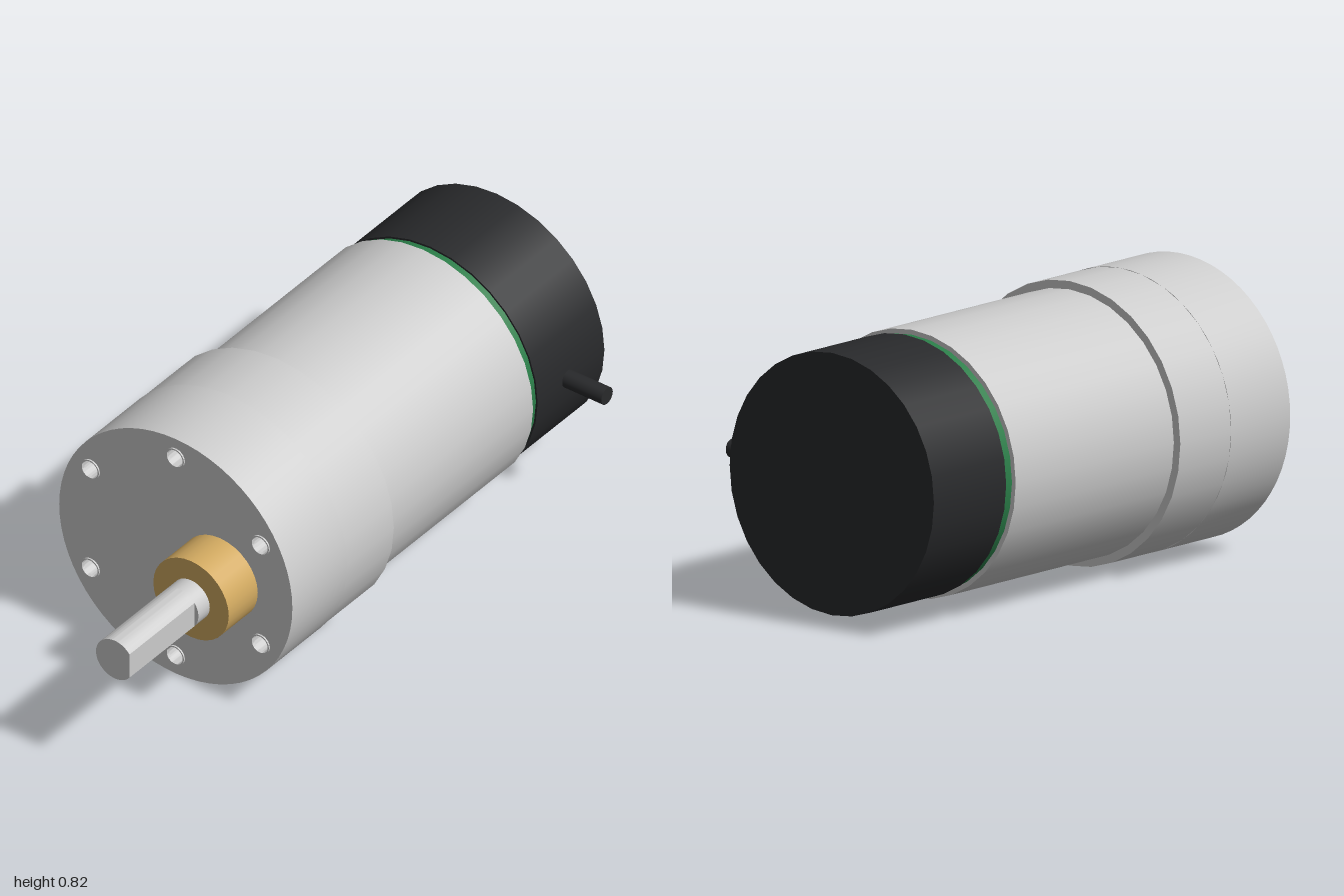
import * as THREE from 'three';
import { toCreasedNormals } from 'three/addons/utils/BufferGeometryUtils.js';

const AXIS_X = -0.053, AXIS_Y = 0.411; // motor axis
const SHAFT_X = 0.103;                 // offset output shaft

const material = (color) => new THREE.MeshStandardMaterial({ color });

export function createModel() {
  const model = new THREE.Group();
  model.name = 'gearMotor';
  const grey = material(0xcccccc);
  const black = material(0x28292b);
  const green = material(0x2a7d48);
  const brass = material(0xd1a960);

  function add(name, geometry, mat, x = 0, y = 0, z = 0) {
    const mesh = new THREE.Mesh(geometry, mat);
    mesh.name = name;
    mesh.position.set(x, y, z);
    model.add(mesh);
    return mesh;
  }

  // Solid cylinder along z between z0 and z1
  function drum(name, radius, z0, z1, mat, x = AXIS_X) {
    const geometry = new THREE.CylinderGeometry(radius, radius, z1 - z0, 32).rotateX(Math.PI / 2);
    return add(name, geometry, mat, x, AXIS_Y, (z0 + z1) / 2);
  }

  // Flat shape extruded along z between z0 and z1
  function prism(name, shape, z0, z1, mat, x, y = AXIS_Y) {
    const geometry = new THREE.ExtrudeGeometry(shape, { depth: z1 - z0, bevelEnabled: false, curveSegments: 32 });
    return add(name, toCreasedNormals(geometry, 0.5), mat, x, y, z0);
  }

  const circle = (radius, x = 0, y = 0) => new THREE.Shape().absarc(x, y, radius, 0, Math.PI * 2, false);

  // Gearbox: solid rear, front half with six blind mounting holes
  drum('gearboxRear', 0.411, 0.03, 0.25, grey);
  const face = circle(0.411);
  for (let i = 0; i < 6; i++) {
    const angle = Math.PI / 2 + (i * Math.PI) / 3;
    const x = 0.346 * Math.cos(angle), y = 0.346 * Math.sin(angle);
    face.holes.push(circle(0.028, x, y));
    const lip = circle(0.032);
    lip.holes.push(circle(0.028));
    prism('mountingHoleLip', lip, 0.5, 0.511, grey, AXIS_X + x, AXIS_Y + y);
  }
  prism('gearboxFront', face, 0.25, 0.506, grey, AXIS_X);

  // Motor can, circuit board and encoder cap
  drum('motorCan', 0.387, -0.655, 0.03, grey);
  drum('circuitBoard', 0.373, -0.687, -0.655, green);
  drum('encoderCap', 0.379, -1, -0.687, black);

  // Cable leaving the cap sideways
  const cable = new THREE.CylinderGeometry(0.027, 0.027, 0.183, 24).rotateZ(Math.PI / 2);
  add('cable', cable, black, 0.3715, AXIS_Y, -0.83);

  // Output boss and shaft with a flat on its left side
  drum('shaftBoss', 0.133, 0.506, 0.642, brass, SHAFT_X);
  drum('shaftRoot', 0.066, 0.64, 0.695, grey, SHAFT_X);
  const half = Math.acos(0.052 / 0.066);
  const dSection = new THREE.Shape().absarc(0, 0, 0.066, half, Math.PI * 2 - half, false);
  prism('shaft', dSection, 0.695, 1, grey, SHAFT_X);

  return model;
}
